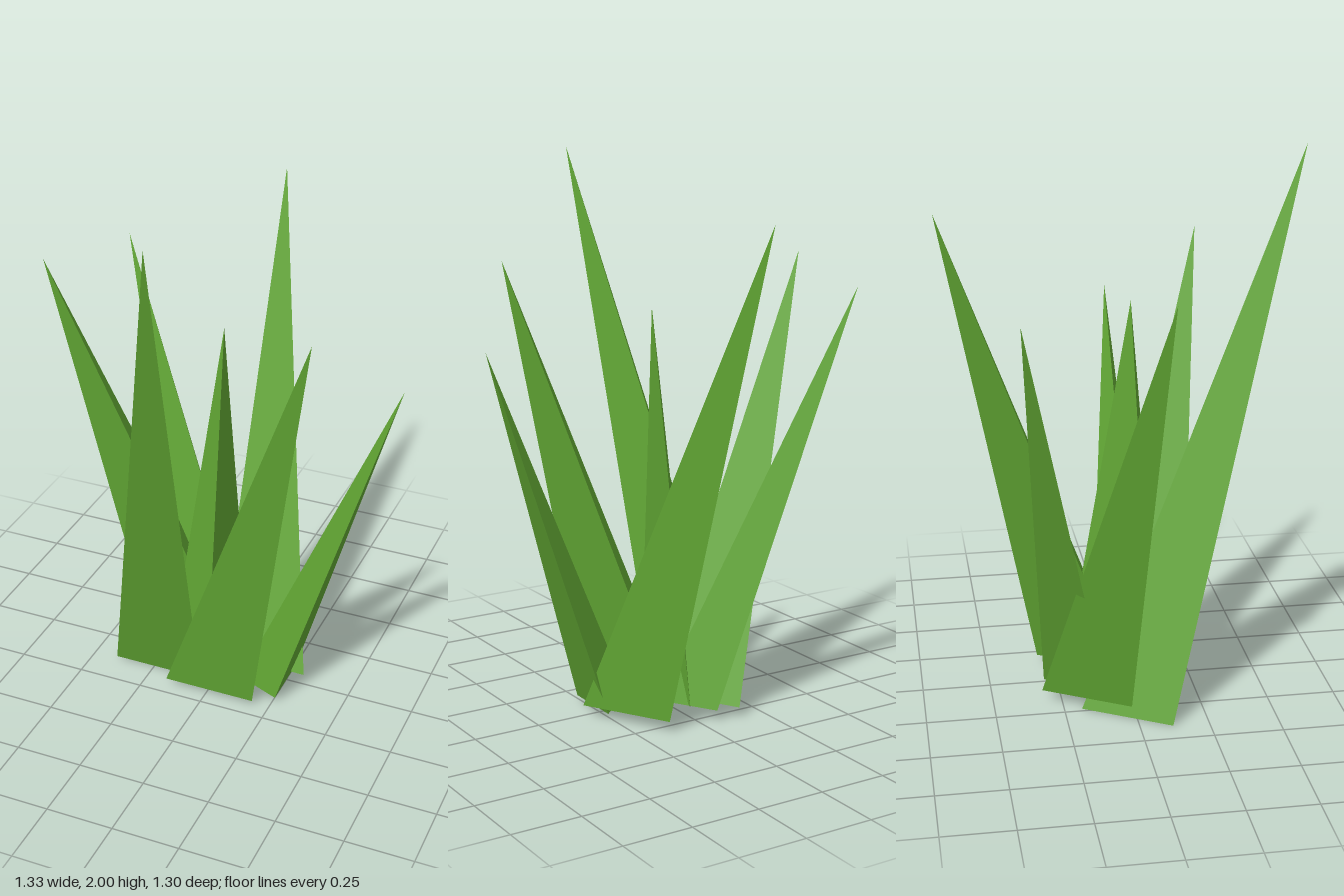
import * as THREE from 'three';

const green = new THREE.MeshStandardMaterial({ color: 0x5fa332 });
green.name = 'grassGreen';

// Leaning three-sided spike: base corners [x, z] run left-front, right-front, back
function blade(name, baseY, corners, tip) {
  const [a, b, c] = corners.map(([x, z]) => [x, baseY, z]);
  const faces = [a, b, tip, b, c, tip, c, a, tip, a, c, b];
  const geometry = new THREE.BufferGeometry();
  geometry.setAttribute('position', new THREE.Float32BufferAttribute(faces.flat(), 3));
  geometry.computeVertexNormals();
  const mesh = new THREE.Mesh(geometry, green);
  mesh.name = name;
  return mesh;
}

// Equilateral base with its point towards the back
function triangle(x, z, r = 0.203) {
  const h = r * Math.sqrt(3) / 2;
  return [[x - h, z + r / 2], [x + h, z + r / 2], [x, z - r]];
}

export function createModel() {
  const group = new THREE.Group();
  group.name = 'grassTuft';
  group.add(
    // Broad outer blades
    blade('frontTallBlade', 0, triangle(-0.234, 0.017), [0.003, 2, 0.65]),
    blade('frontLeftBlade', 0.02, triangle(0.012, 0.095), [0.44, 1.62, 0.342]),
    blade('backTallBlade', 0.04, triangle(0.143, -0.105), [-0.034, 1.8, -0.655]),
    blade('rightBlade', 0.04, triangle(-0.145, -0.118), [-0.667, 1.62, 0.07]),
    // Narrow filler blades
    blade('leftBlade', 0.02, [[0.09, 0.075], [0.26, 0.145], [0.26, -0.08]], [0.663, 1.35, 0.033]),
    blade('backRightBlade', 0.04, [[-0.2, -0.09], [0.066, -0.1], [-0.06, -0.305]], [-0.567, 1.545, -0.416]),
    blade('centreBlade', 0.04, [[-0.2, 0.08], [-0.016, 0.146], [0, -0.22]], [0.006, 1.46, 0.03]),
  );
  return group;
}
